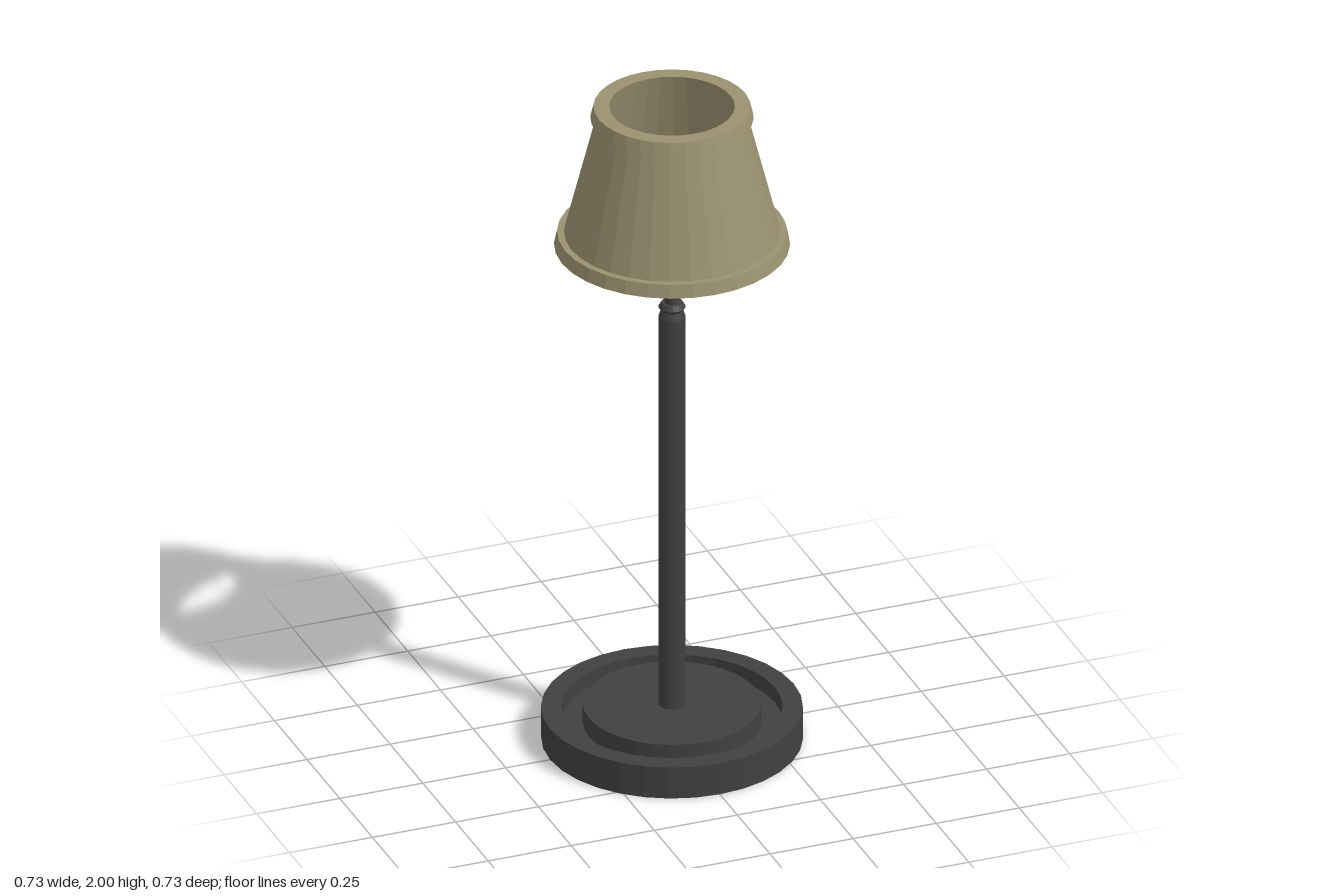
import * as THREE from 'three';

const metal = new THREE.MeshStandardMaterial({ color: 0x404040, flatShading: true });
const fabric = new THREE.MeshStandardMaterial({ color: 0x9a9170, flatShading: true });

// Turned part from [radius, height] points, listed bottom to top on the outside
function turned(name, points, segments, material) {
  const profile = points.map(([r, y]) => new THREE.Vector2(r, y));
  const mesh = new THREE.Mesh(new THREE.LatheGeometry(profile, segments), material);
  mesh.name = name;
  return mesh;
}

export function createModel() {
  const lamp = new THREE.Group();
  lamp.name = 'tableLamp';

  // Round base with a groove around a raised centre disc
  lamp.add(turned('base', [
    [0, 0], [0.367, 0], [0.367, 0.098], [0.31, 0.098],
    [0.31, 0.05], [0.25, 0.05], [0.25, 0.108], [0, 0.108],
  ], 32, metal));

  // Pole with a chamfered top, a small collar bead and the thin upper rod
  lamp.add(turned('pole', [
    [0.038, 0.1], [0.038, 1.335], [0.031, 1.357], [0, 1.357],
  ], 24, metal));
  lamp.add(turned('collar', [
    [0, 1.35], [0.03, 1.355], [0.038, 1.366], [0.03, 1.38], [0, 1.38],
  ], 24, metal));
  lamp.add(turned('rod', [[0.021, 1.37], [0.021, 1.68], [0, 1.68]], 16, metal));

  // Thick hollow shade with a flared band at each rim
  lamp.add(turned('shade', [
    [0.287, 1.565], [0.331, 1.565], [0.322, 1.604], [0.303, 1.604],
    [0.212, 1.965], [0.229, 1.965], [0.22, 2], [0.176, 2], [0.287, 1.565],
  ], 32, fabric));

  // Spokes holding the shade to the rod
  const spokes = new THREE.Group();
  spokes.name = 'shadeSpokes';
  const count = 16, length = 0.265;
  const geometry = new THREE.BoxGeometry(length, 0.014, 0.008).translate(length / 2, 0, 0);
  for (let i = 0; i < count; i++) {
    const spoke = new THREE.Mesh(geometry, metal);
    spoke.name = 'spoke';
    spoke.position.y = 1.668;
    spoke.rotation.y = -((i + 0.25) / count) * Math.PI * 2;
    spokes.add(spoke);
  }
  lamp.add(spokes);

  return lamp;
}
